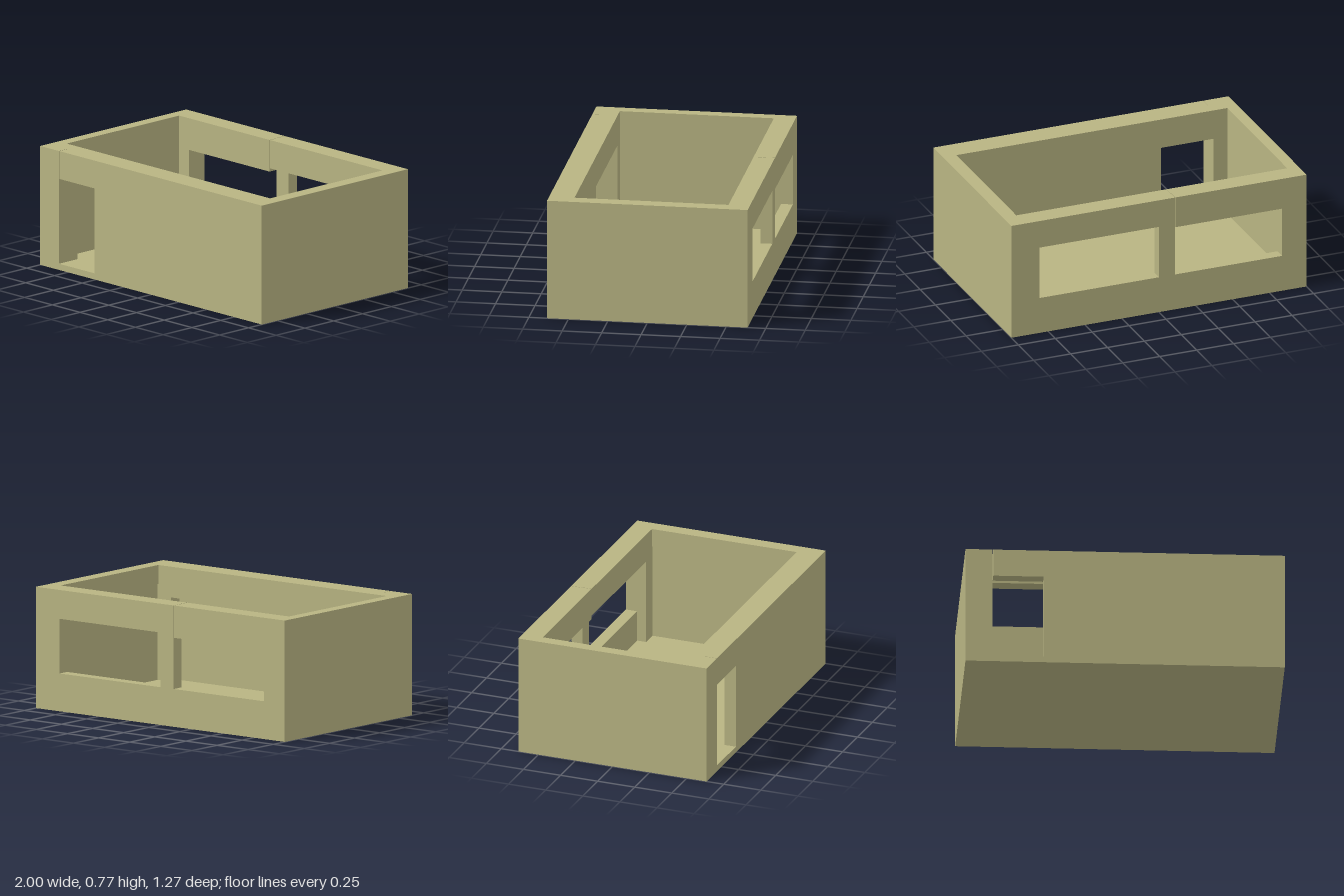
import * as THREE from 'three';

const H = 0.77, FLOOR = 0.04, Z = 0.635, LAYER = 0.56;

export function createModel() {
  const group = new THREE.Group();
  const material = new THREE.MeshStandardMaterial({ color: 0xb8b482, flatShading: true });

  const add = (name, geometry) => {
    const mesh = new THREE.Mesh(geometry, material);
    mesh.name = name;
    group.add(mesh);
  };

  // Box given by its bounds
  const box = (name, x0, x1, y0, y1, z0, z1) => {
    const g = new THREE.BoxGeometry(x1 - x0, y1 - y0, z1 - z0);
    add(name, g.translate((x0 + x1) / 2, (y0 + y1) / 2, (z0 + z1) / 2));
  };

  // Upright panel: outline in x and y, extruded from z0 to z1
  const path = (points) => points.map(([x, y]) => new THREE.Vector2(x, y));
  const panel = (name, z0, z1, outline, holes = []) => {
    const shape = new THREE.Shape(path(outline));
    holes.forEach((h) => shape.holes.push(new THREE.Path(path(h))));
    const g = new THREE.ExtrudeGeometry(shape, { depth: z1 - z0, bevelEnabled: false });
    add(name, g.translate(0, 0, z0));
  };

  box('floor', -0.925, 0.917, 0, FLOOR, -LAYER, LAYER);

  // Side walls; the one at +x has a slight lip near the top
  box('rightWall', -1, -0.925, 0, H, -LAYER, LAYER);
  box('leftWall', 0.917, 1, 0, H, -LAYER, LAYER);
  box('leftWallLip', 0.91, 0.917, 0.65, H, -0.5, 0.475);

  // Front outer wall with the doorway and the narrow joint above it
  panel('frontWall', LAYER, Z, [
    [-1, 0], [1, 0], [1, H], [-0.826, H], [-0.826, 0.59], [-0.51, 0.59],
    [-0.51, FLOOR], [-0.83, FLOOR], [-0.83, H], [-1, H],
  ]);

  // Front inner layer framing a wide niche
  panel('frontInnerFrame', 0.475, LAYER, [
    [-0.925, FLOOR], [-0.83, FLOOR], [-0.83, 0.575], [0.81, 0.575],
    [0.81, FLOOR], [0.917, FLOOR], [0.917, H], [-0.925, H],
  ]);

  // Back outer wall with two windows and a narrow joint between the lintels
  panel('backWall', -Z, -LAYER, [
    [-1, 0], [1, 0], [1, H], [-0.108, H], [-0.108, 0.24], [-0.834, 0.24],
    [-0.834, 0.565], [-0.112, 0.565], [-0.112, H], [-1, H],
  ], [[[0, 0.24], [0, 0.587], [0.81, 0.587], [0.81, 0.24]]]);

  // Back inner layer, in two halves with lintels at slightly different heights
  panel('backInnerFrameRight', -LAYER, -0.5, [
    [-0.925, FLOOR], [-0.834, FLOOR], [-0.834, 0.565], [-0.108, 0.565],
    [-0.108, H], [-0.925, H],
  ]);
  panel('backInnerFrameLeft', -LAYER, -0.5, [
    [0.917, FLOOR], [0.917, H], [-0.104, H], [-0.104, 0.587],
    [0.81, 0.587], [0.81, FLOOR],
  ]);

  return group;
}
